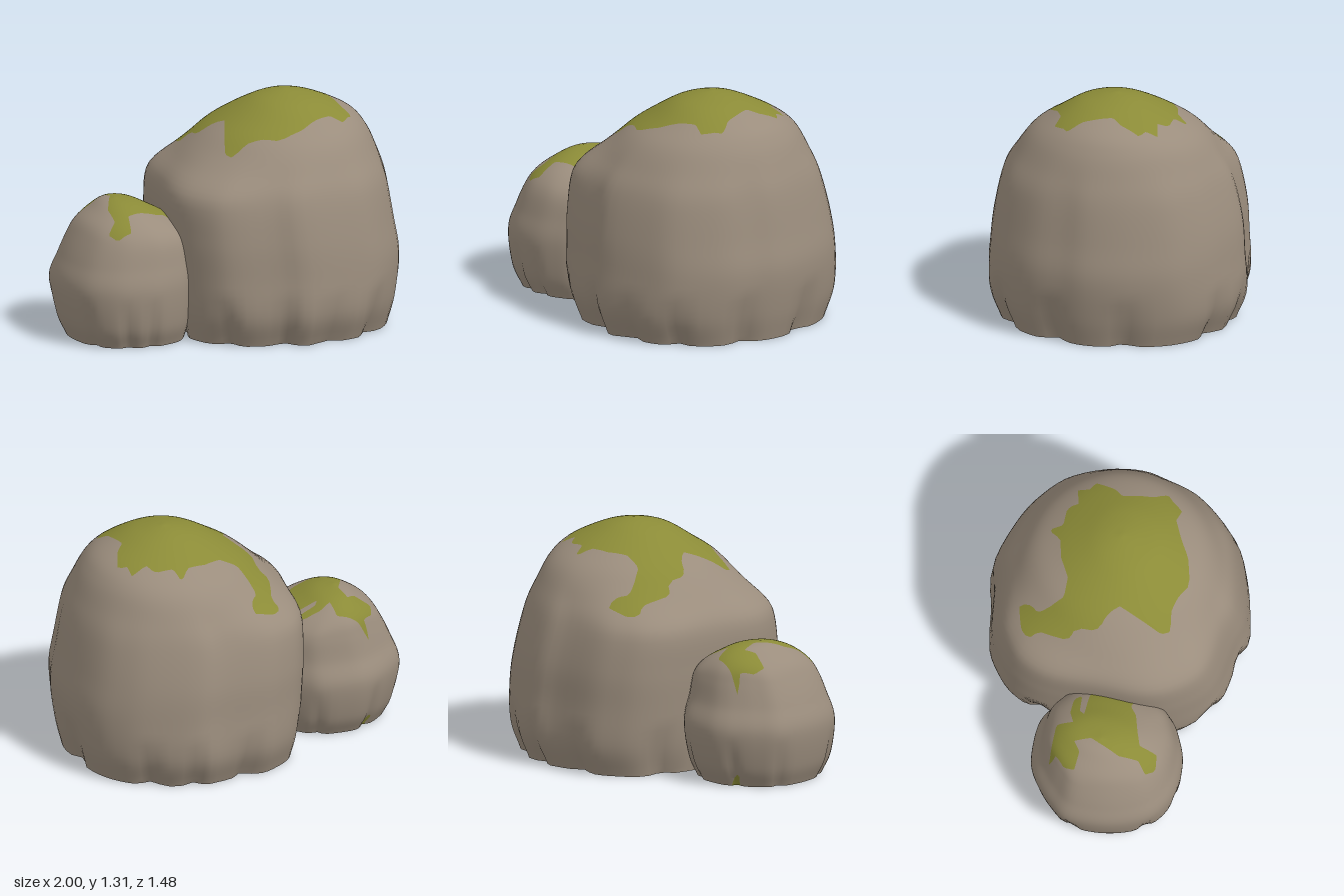
import * as THREE from 'three';
import { mergeVertices } from 'three/addons/utils/BufferGeometryUtils.js';

const COLS = 80, ROWS = 56;
const rock = new THREE.MeshStandardMaterial({ color: 0x9b8d7d });
rock.name = 'rock';
const moss = new THREE.MeshStandardMaterial({ color: 0x8b8b37 });
moss.name = 'moss';

const curve = (pts, closed) => new THREE.CatmullRomCurve3(pts, closed, 'catmullrom', 0.5);

// Signed distance to a moss outline in plan (positive inside)
function insideDistance(poly, x, z) {
  let inside = false, best = Infinity;
  poly.forEach(([x1, z1], i) => {
    const [x2, z2] = poly[(i + 1) % poly.length];
    if ((z1 > z) !== (z2 > z) && x < x1 + (x2 - x1) * (z - z1) / (z2 - z1)) inside = !inside;
    const dx = x2 - x1, dz = z2 - z1;
    const t = THREE.MathUtils.clamp(((x - x1) * dx + (z - z1) * dz) / (dx * dx + dz * dz), 0, 1);
    best = Math.min(best, Math.hypot(x - x1 - t * dx, z - z1 - t * dz));
  });
  return inside ? best : -best;
}

// Cuts a triangle along the moss edge and sorts the pieces
function splitTriangle(tri, rockOut, mossOut) {
  [[1, mossOut], [-1, rockOut]].forEach(([sign, out]) => {
    const piece = [];
    tri.forEach((a, i) => {
      const b = tri[(i + 1) % 3];
      if (a.f * sign > 0) piece.push(a.p);
      if (a.f * b.f < 0) piece.push(a.p.clone().lerp(b.p, a.f / (a.f - b.f)));
    });
    for (let k = 1; k + 1 < piece.length; k++) out.push(piece[0], piece[k], piece[k + 1]);
  });
}

// levels: [y, xMin, xMax, zMin, zMax] from the ground to the crown
function makeBoulder(name, { levels, outline, notches, round, mossEdge }) {
  const xs = curve(levels.map(l => new THREE.Vector3(l[1], l[0], l[2])));
  const zs = curve(levels.map(l => new THREE.Vector3(l[3], l[0], l[4])));
  const plan = curve(outline.map(([u, w]) => new THREE.Vector3(u, 0, w)), true);
  const grid = [];
  for (let i = 0; i <= ROWS; i++) {
    const lx = xs.getPoint(i / ROWS), lz = zs.getPoint(i / ROWS);
    const mix = THREE.MathUtils.smoothstep(lx.y, round[0], round[1]);
    const low = Math.max(0, 1 - lx.y / 0.3);
    const ring = [];
    for (let j = 0; j < COLS; j++) {
      const o = plan.getPoint(j / COLS);
      const angle = Math.atan2(o.z, o.x);
      // The section becomes round near the crown, with dents at the foot
      const dent = notches.reduce((s, n) => s + Math.exp(-(((angle - n) / 0.09) ** 2)), 0);
      const k = (1 + mix * (1 / o.length() - 1)) * (1 - 0.085 * low * Math.min(1, dent));
      const p = new THREE.Vector3(
        (lx.x + lx.z) / 2 + o.x * k * (lx.z - lx.x) / 2,
        lx.y,
        (lz.x + lz.z) / 2 + o.z * k * (lz.z - lz.x) / 2);
      ring.push({ p, f: insideDistance(mossEdge, p.x, p.z) || 1e-6 });
    }
    grid.push(ring);
  }

  const rockPts = [], mossPts = [];
  for (let i = 0; i < ROWS; i++) {
    for (let j = 0; j < COLS; j++) {
      const n = (j + 1) % COLS;
      splitTriangle([grid[i][j], grid[i + 1][j], grid[i][n]], rockPts, mossPts);
      if (i < ROWS - 1) splitTriangle([grid[i + 1][j], grid[i + 1][n], grid[i][n]], rockPts, mossPts);
    }
  }
  const geometry = mergeVertices(new THREE.BufferGeometry().setFromPoints([...rockPts, ...mossPts]), 1e-5);
  geometry.addGroup(0, rockPts.length, 0);
  geometry.addGroup(rockPts.length, mossPts.length, 1);
  geometry.computeVertexNormals();
  const body = new THREE.Mesh(geometry, [rock, moss]);
  body.name = name + 'Body';

  // Flat underside
  const foot = grid[0].map(v => v.p);
  const centre = foot.reduce((s, p) => s.add(p), new THREE.Vector3()).divideScalar(COLS);
  const fan = foot.flatMap((p, j) => [centre, p, foot[(j + 1) % COLS]]);
  const baseGeometry = new THREE.BufferGeometry().setFromPoints(fan);
  baseGeometry.computeVertexNormals();
  const base = new THREE.Mesh(baseGeometry, rock);
  base.name = name + 'Base';

  const group = new THREE.Group();
  group.name = name;
  group.add(body, base);
  return group;
}

const largeBoulder = {
  levels: [
    [0, -0.31, 0.935, -0.68, 0.68], [0.17, -0.34, 0.975, -0.742, 0.742], [0.4, -0.36, 1, -0.73, 0.73],
    [0.6, -0.37, 0.97, -0.71, 0.71], [0.82, -0.36, 0.93, -0.65, 0.66], [0.96, -0.25, 0.88, -0.575, 0.575],
    [1.09, -0.115, 0.82, -0.485, 0.475], [1.18, 0.015, 0.74, -0.36, 0.35], [1.26, 0.16, 0.58, -0.2, 0.22],
    [1.295, 0.27, 0.46, -0.1, 0.1], [1.31, 0.36, 0.36, 0, 0],
  ],
  outline: [
    [1, 0], [0.96, 0.22], [0.88, 0.5], [0.65, 0.78], [0.39, 0.91], [0, 1], [-0.25, 0.95], [-0.58, 0.9],
    [-0.77, 0.8], [-0.93, 0.59], [-1, 0.35], [-1, 0], [-1, -0.4], [-0.91, -0.65], [-0.75, -0.8],
    [-0.55, -0.9], [-0.2, -0.95], [0.05, -1], [0.42, -0.9], [0.64, -0.78], [0.82, -0.6], [0.95, -0.3],
  ],
  notches: [-2.7, -2, -1.5, -1.1, -0.28, 0.33, 0.89, 1.37, 1.78, 2.27, 2.8],
  round: [0.8, 1.06],
  mossEdge: [
    [-0.03, -0.5], [-0.04, -0.43], [-0.08, -0.38], [-0.05, -0.32], [0, -0.25], [0.1, -0.25], [0.2, -0.31],
    [0.31, -0.34], [0.36, -0.42], [0.39, -0.34], [0.5, -0.34], [0.53, -0.28], [0.62, -0.31], [0.63, -0.24],
    [0.68, -0.22], [0.65, -0.1], [0.61, -0.05], [0.64, 0.06], [0.65, 0.12], [0.7, 0.19], [0.65, 0.24],
    [0.63, 0.29], [0.55, 0.27], [0.45, 0.32], [0.36, 0.38], [0.22, 0.42], [0.13, 0.37], [0.05, 0.35],
    [-0.04, 0.37], [-0.07, 0.32], [-0.04, 0.2], [0, 0.06], [-0.07, 0], [-0.14, -0.02], [-0.14, -0.16],
    [-0.2, -0.18], [-0.19, -0.26], [-0.17, -0.36], [-0.21, -0.41], [-0.16, -0.46], [-0.1, -0.48],
  ],
};

const smallBoulder = {
  levels: [
    [0, -0.92, -0.27, -0.2, 0.48], [0.12, -0.97, -0.24, -0.26, 0.53], [0.32, -1, -0.22, -0.29, 0.545],
    [0.46, -0.955, -0.23, -0.245, 0.51], [0.58, -0.9, -0.26, -0.22, 0.47], [0.66, -0.85, -0.34, -0.19, 0.41],
    [0.72, -0.775, -0.45, -0.13, 0.32], [0.76, -0.715, -0.54, -0.04, 0.21], [0.778, -0.65, -0.65, 0.1, 0.1],
  ],
  outline: [
    [1, 0], [0.93, 0.4], [0.75, 0.74], [0.5, 0.9], [0.2, 1], [-0.2, 1], [-0.5, 0.9], [-0.75, 0.7],
    [-0.92, 0.37], [-1, 0], [-0.98, -0.38], [-0.8, -0.62], [-0.6, -0.8], [-0.4, -0.93], [-0.15, -1],
    [0.3, -1], [0.55, -0.88], [0.8, -0.65], [0.95, -0.35],
  ],
  notches: [-2.8, -2.1, -1.2, 1.4, 1.8, 2.4],
  round: [0.6, 0.72],
  mossEdge: [
    [-0.8, -0.165], [-0.6, -0.16], [-0.58, -0.07], [-0.52, -0.1], [-0.42, -0.1], [-0.39, -0.06], [-0.5, -0.05],
    [-0.52, -0.02], [-0.4, -0.02], [-0.3, 0], [-0.3, 0.25], [-0.4, 0.22], [-0.45, 0.26], [-0.55, 0.29],
    [-0.63, 0.32], [-0.64, 0.42], [-0.72, 0.43], [-0.76, 0.38], [-0.71, 0.33], [-0.72, 0.22], [-0.68, 0.1],
    [-0.66, 0.05], [-0.69, -0.04], [-0.74, 0], [-0.83, -0.01], [-0.82, -0.07], [-0.76, -0.13],
  ],
};

export function createModel() {
  const model = new THREE.Group();
  model.name = 'mossyBoulders';
  model.add(makeBoulder('largeBoulder', largeBoulder), makeBoulder('smallBoulder', smallBoulder));
  return model;
}
